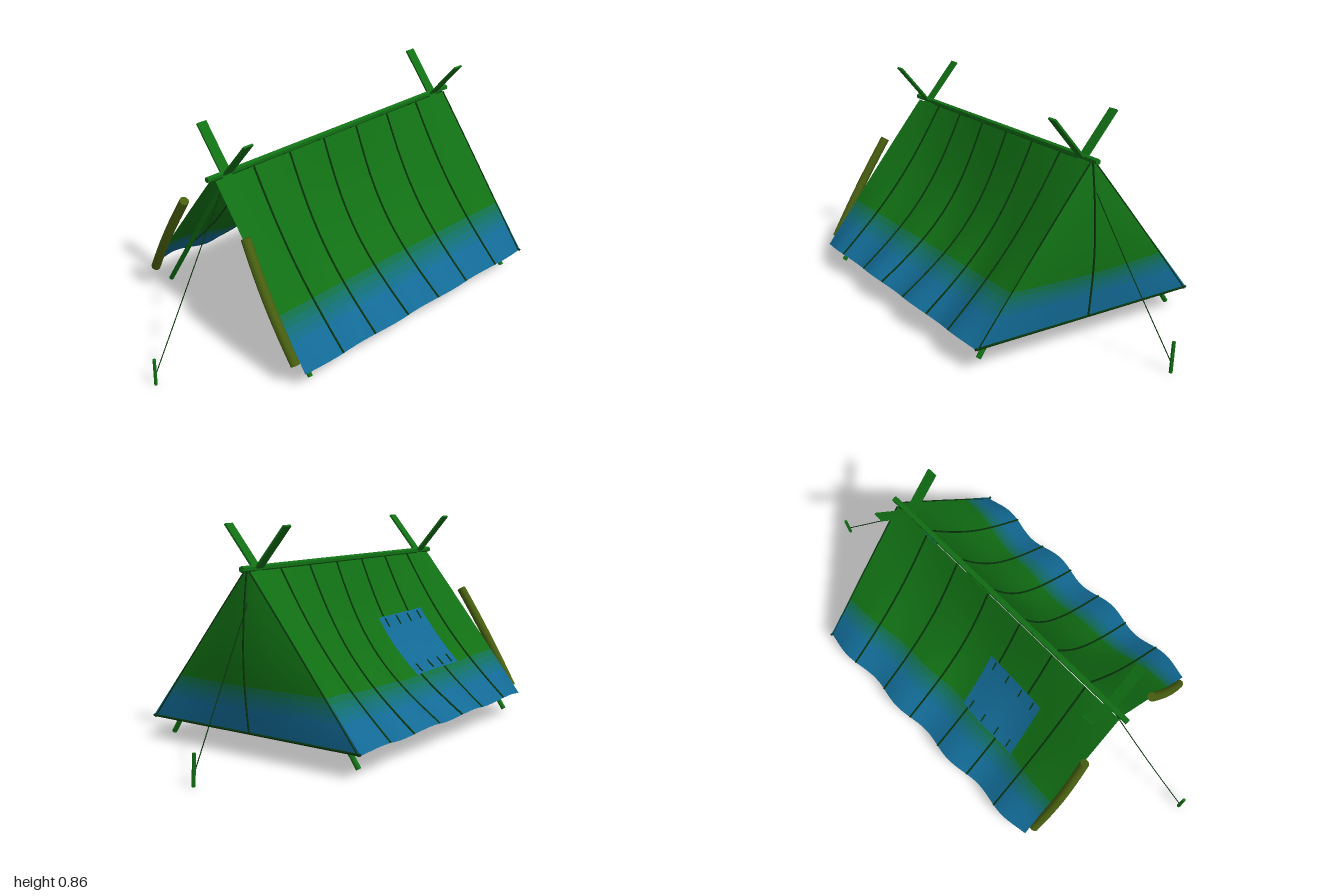
import * as THREE from 'three';
import { ParametricGeometry } from 'three/addons/geometries/ParametricGeometry.js';

const GREEN = 0x117014, BLUE = 0x126a95, DARK = 0x08340b, OLIVE = 0x485f10;
const V = (x, y, z) => new THREE.Vector3(x, y, z);
const HALF = 0.62; // half length of the canvas

// Point on a canvas slope: t runs from ridge to hem, lift raises it off the cloth
function slopePoint(side, t, z, lift = 0, target = V(0, 0, 0)) {
  const w = Math.max(0, Math.cos((z / HALF) * Math.PI / 2));
  const ripple = -Math.cos((2 * Math.PI * z) / 0.33) * 0.014 * t * t;
  const out = lift + ripple - 0.075 * Math.sin(Math.PI * t) * w;
  return target.set(side * (0.012 + 0.488 * t + 0.775 * out), 0.69 - 0.598 * t + 0.63 * out, z);
}

// Point on the closed back wall
function backPoint(u, t, lift = 0, target = V(0, 0, 0)) {
  const belly = 0.025 * Math.sin(Math.PI * t) * Math.sin(Math.PI * u);
  return target.set((2 * u - 1) * (0.012 + 0.488 * t), 0.69 - 0.598 * t, -HALF - belly - lift);
}

export function createModel() {
  const group = new THREE.Group();

  function add(name, geometry, color, extra = {}) {
    const mesh = new THREE.Mesh(geometry, new THREE.MeshStandardMaterial({ color, ...extra }));
    mesh.name = name;
    group.add(mesh);
    return mesh;
  }
  // Straight round pole between two points
  function pole(name, a, b, radius, sides, color, geometry) {
    const geo = geometry || new THREE.CylinderGeometry(radius, radius, a.distanceTo(b), sides);
    const mesh = add(name, geo, color, { flatShading: sides < 9 });
    mesh.position.copy(a).add(b).multiplyScalar(0.5);
    mesh.quaternion.setFromUnitVectors(V(0, 1, 0), b.clone().sub(a).normalize());
    return mesh;
  }
  function cord(name, points, radius, color = DARK) {
    const curve = new THREE.CatmullRomCurve3(points);
    return add(name, new THREE.TubeGeometry(curve, points.length * 2, radius, 5), color);
  }
  const sheet = (name, f, nu, nv, color) =>
    add(name, new ParametricGeometry(f, nu, nv), color, { side: THREE.DoubleSide });

  // Canvas in colour bands, green fading to a blue hem
  const bands = [[0, 0.7], [0.7, 0.735], [0.735, 0.77], [0.77, 0.805], [0.805, 0.84], [0.84, 1]];
  bands.forEach(([t0, t1], i) => {
    const color = new THREE.Color(GREEN).lerp(new THREE.Color(BLUE), i / (bands.length - 1));
    const rows = i === 0 ? 16 : 4;
    for (const side of [-1, 1]) {
      sheet('canvasSlope', (u, v, p) =>
        slopePoint(side, t0 + (t1 - t0) * v, HALF * (2 * u - 1), 0, p), 56, rows, color);
    }
    sheet('backWall', (u, v, p) => backPoint(u, t0 + (t1 - t0) * v, 0, p), 20, rows, color);
  });

  // Seams between the seven canvas strips and down the back wall
  const steps = [...Array(15).keys()].map((i) => i / 14);
  for (const side of [-1, 1]) {
    for (let i = 1; i < 7; i++) {
      const z = -HALF + (i * 2 * HALF) / 7;
      cord('seam', steps.map((t) => slopePoint(side, t, z, 0.001)), 0.004);
    }
    cord('backEdgeSeam', steps.map((t) => slopePoint(side, t, -HALF)), 0.003);
  }
  cord('backSeam', steps.map((t) => backPoint(0.5, t, 0.001)), 0.004);
  pole('backHemBar', V(-0.5, 0.092, -HALF), V(0.5, 0.092, -HALF), 0.005, 6, DARK);

  // Sewn patch with stitches on the right slope
  const patchPoint = (u, v, lift, p) =>
    slopePoint(-1, 0.33 + 0.37 * v, 0.045 + 0.3 * u + 0.015 * v, lift, p);
  sheet('patch', (u, v, p) => patchPoint(u, v, 0.008, p), 10, 10, BLUE);
  for (const v of [0.1, 0.9]) {
    for (const u of [0.12, 0.38, 0.64, 0.88]) {
      pole('stitch', patchPoint(u, v - 0.07, 0.01), patchPoint(u, v + 0.07, 0.01), 0.003, 5, DARK);
    }
  }

  // Ridge pole and the two crossed supports
  pole('ridgePole', V(0, 0.7, -0.65), V(0, 0.7, 0.65), 0.012, 6, GREEN);
  for (const z of [-0.56, 0.56]) {
    for (const side of [-1, 1]) {
      pole('supportPole', V(side * 0.45, 0.02, z), V(0, 0.68, z), 0.01, 8, GREEN);
      const a = V(-side * 0.015, 0.675, z), b = V(side * 0.14, 0.857, z);
      pole('crossedBoard', a, b, 0, 4, GREEN, new THREE.BoxGeometry(0.008, a.distanceTo(b), 0.042));
    }
  }

  // Rolled-up door flaps, bowed forward in the middle
  for (const side of [-1, 1]) {
    const a = V(side * 0.45, 0.11, 0.63), b = V(side * 0.19, 0.53, 0.63);
    const length = a.distanceTo(b);
    const geo = new THREE.CylinderGeometry(0.019, 0.019, length, 14, 8);
    const pos = geo.attributes.position;
    for (let i = 0; i < pos.count; i++) {
      pos.setZ(i, pos.getZ(i) + 0.01 * Math.cos((pos.getY(i) / length) * Math.PI));
    }
    geo.computeVertexNormals();
    pole('rolledFlap', a, b, 0.019, 14, OLIVE, geo);
  }

  // Guy ropes and ground stakes
  for (const s of [-1, 1]) {
    cord('guyRope', [V(0, 0.69, s * 0.56), V(s * 0.038, 0.345, s * 0.785), V(s * 0.077, 0.04, s * 0.99)], 0.002);
    pole('stake', V(s * 0.077, 0, s * 0.992), V(s * 0.084, 0.118, s * 0.992), 0.007, 6, GREEN);
  }

  // Bedroll inside
  pole('bedroll', V(-0.297, 0.07, -0.178), V(-0.015, 0.07, -0.178), 0.036, 14, OLIVE);

  // Stuffed pack: a box with rounded, swollen sides
  const pack = new THREE.BoxGeometry(0.2, 0.12, 0.16, 6, 6, 6);
  const pp = pack.attributes.position;
  for (let i = 0; i < pp.count; i++) {
    const x = pp.getX(i) / 0.1, y = pp.getY(i) / 0.06, z = pp.getZ(i) / 0.08;
    pp.setXYZ(i, 0.1 * x * (1 - 0.07 * z * z),
      0.06 * y * (1 - 0.1 * x * x) * (1 - 0.22 * z * z),
      0.08 * z * (1 - 0.12 * x * x) * (1 - 0.2 * y * y));
  }
  pack.computeVertexNormals();
  add('pack', pack, GREEN).position.set(0.218, 0.095, -0.34);

  return group;
}
